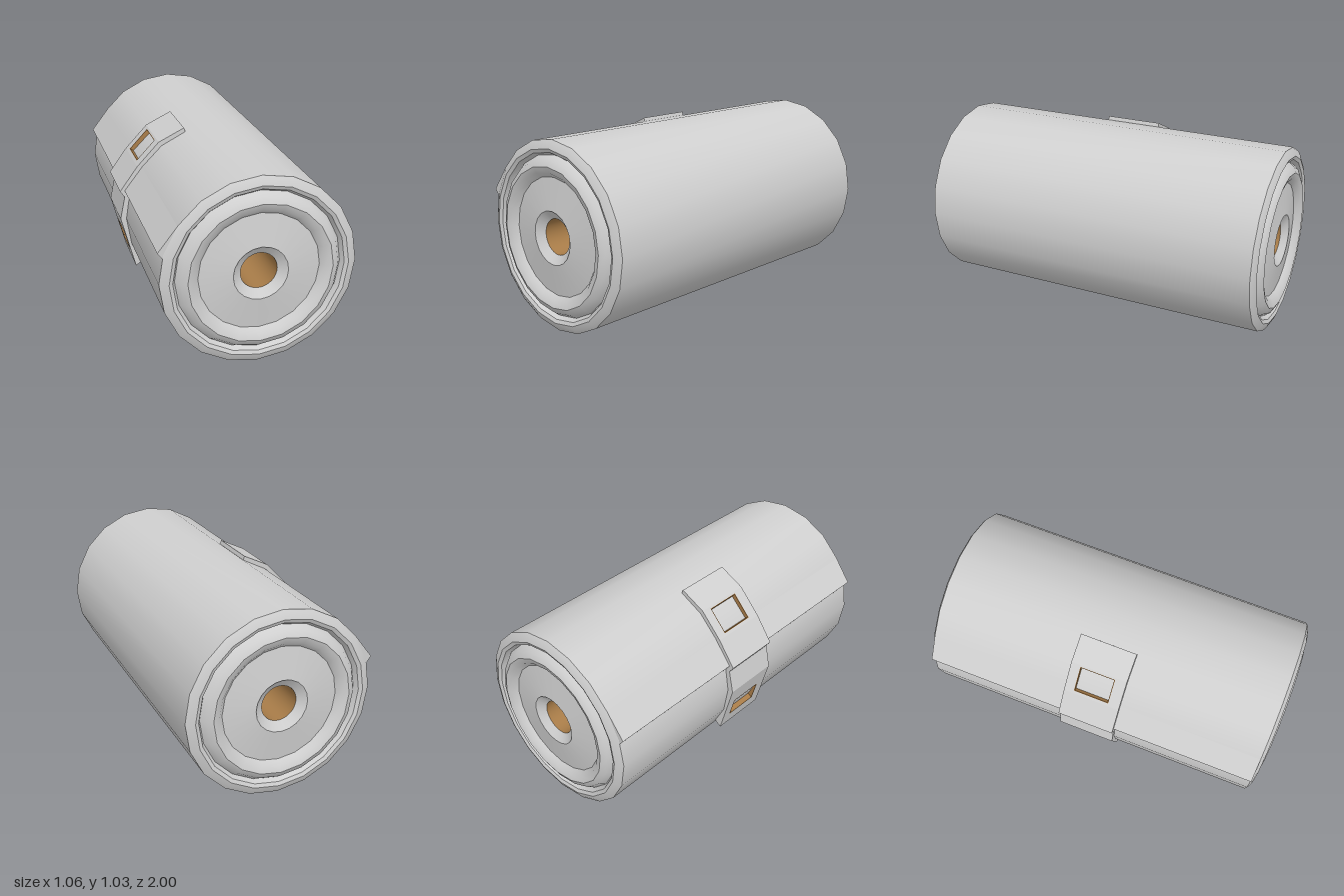
import * as THREE from 'three';
import { toCreasedNormals } from 'three/addons/utils/BufferGeometryUtils.js';

const CX = 0.015, CY = 0.519, R = 0.516;
const v = (x, y) => new THREE.Vector2(x, y);

export function createModel() {
  const group = new THREE.Group();
  const paper = new THREE.MeshStandardMaterial({ color: 0xcfcfcf });
  paper.name = 'paper grey';
  const card = new THREE.MeshStandardMaterial({ color: 0xa87c48, side: THREE.DoubleSide });
  card.name = 'cardboard brown';

  const add = (name, geometry, material) => {
    const mesh = new THREE.Mesh(geometry, material);
    mesh.name = name;
    group.add(mesh);
    return mesh;
  };

  // Spin a profile of [radius, z] around the roll's long axis
  const spin = (name, profile, sides, material) => {
    let g = new THREE.LatheGeometry(profile.map(([r, z]) => v(r, z)), sides);
    g = toCreasedNormals(g, 0.62);
    g.rotateX(Math.PI / 2);
    g.translate(CX, CY, 0);
    return add(name, g, material);
  };

  // Extrude an outline in x and y between two z positions
  const slab = (name, points, z0, z1, material) => {
    const g = new THREE.ExtrudeGeometry(new THREE.Shape(points), { depth: z1 - z0, bevelEnabled: false });
    g.translate(0, 0, z0);
    return add(name, g, material);
  };

  // Roll with its rounded end ridges and slightly domed end faces
  const end = [
    [0.145, 0.985], [0.32, 0.962], [0.345, 0.988], [0.38, 1.0], [0.412, 0.985],
    [0.435, 0.952], [0.45, 0.978], [0.47, 0.987], [0.495, 0.978], [R, 0.965],
  ];
  const profile = [...end.map(([r, z]) => [r, -z]), ...[...end].reverse()];
  spin('roll', profile, 20, paper);

  // Bevelled rims around the core opening
  spin('frontRim', [[0.147, 0.9845], [0.0975, 0.95]], 32, paper);
  spin('backRim', [[0.0975, -0.95], [0.147, -0.9845]], 32, paper);

  // Hollow core
  spin('core', [[0.0975, -0.95], [0.0975, 0.95]], 32, card);

  // Loose edge of the outer sheet
  slab('sheetEdge', [v(-0.402, 0.822), v(-0.505, 0.69), v(-0.478, 0.655), v(-0.44, 0.68)], -0.965, 0.965, paper);

  // Fastening strap, cut into slices around its two windows
  const path = [
    v(-0.16, 1.028), v(-0.305, 0.958), v(-0.43, 0.826), v(-0.531, 0.688),
    v(-0.506, 0.652), v(-0.534, 0.52), v(-0.455, 0.215),
  ];
  const inward = p => v(CX + (p.x - CX) * 0.92, CY + (p.y - CY) * 0.92);
  const band = pts => [...pts, ...pts.map(inward).reverse()];
  const along = (i, t) => path[i].clone().lerp(path[i + 1], t);
  const windows = [{ seg: 1, t0: 0.06, t1: 0.91 }, { seg: 5, t0: 0.36, t1: 0.76 }];
  const [zA, zB, zC, zD] = [-0.165, -0.11, 0.092, 0.157];

  slab('strapBackSide', band(path), zA, zB, paper);
  slab('strapFrontSide', band(path), zC, zD, paper);
  const [w0, w1] = windows;
  slab('strapTop', band([path[0], path[1], along(w0.seg, w0.t0)]), zB, zC, paper);
  slab('strapMiddle', band([along(w0.seg, w0.t1), ...path.slice(2, 6), along(w1.seg, w1.t0)]), zB, zC, paper);
  slab('strapBottom', band([along(w1.seg, w1.t1), path[6]]), zB, zC, paper);

  // Brown lining on the four walls of each window
  const thin = 0.004;
  for (const { seg, t0, t1 } of windows) {
    const dt = thin / path[seg].distanceTo(path[seg + 1]);
    const piece = (a, b, z0, z1) => slab('windowLining', band([along(seg, a), along(seg, b)]), z0, z1, card);
    piece(t0, t1, zB, zB + thin);
    piece(t0, t1, zC - thin, zC);
    piece(t0, t0 + dt, zB, zC);
    piece(t1 - dt, t1, zB, zC);
  }

  return group;
}
